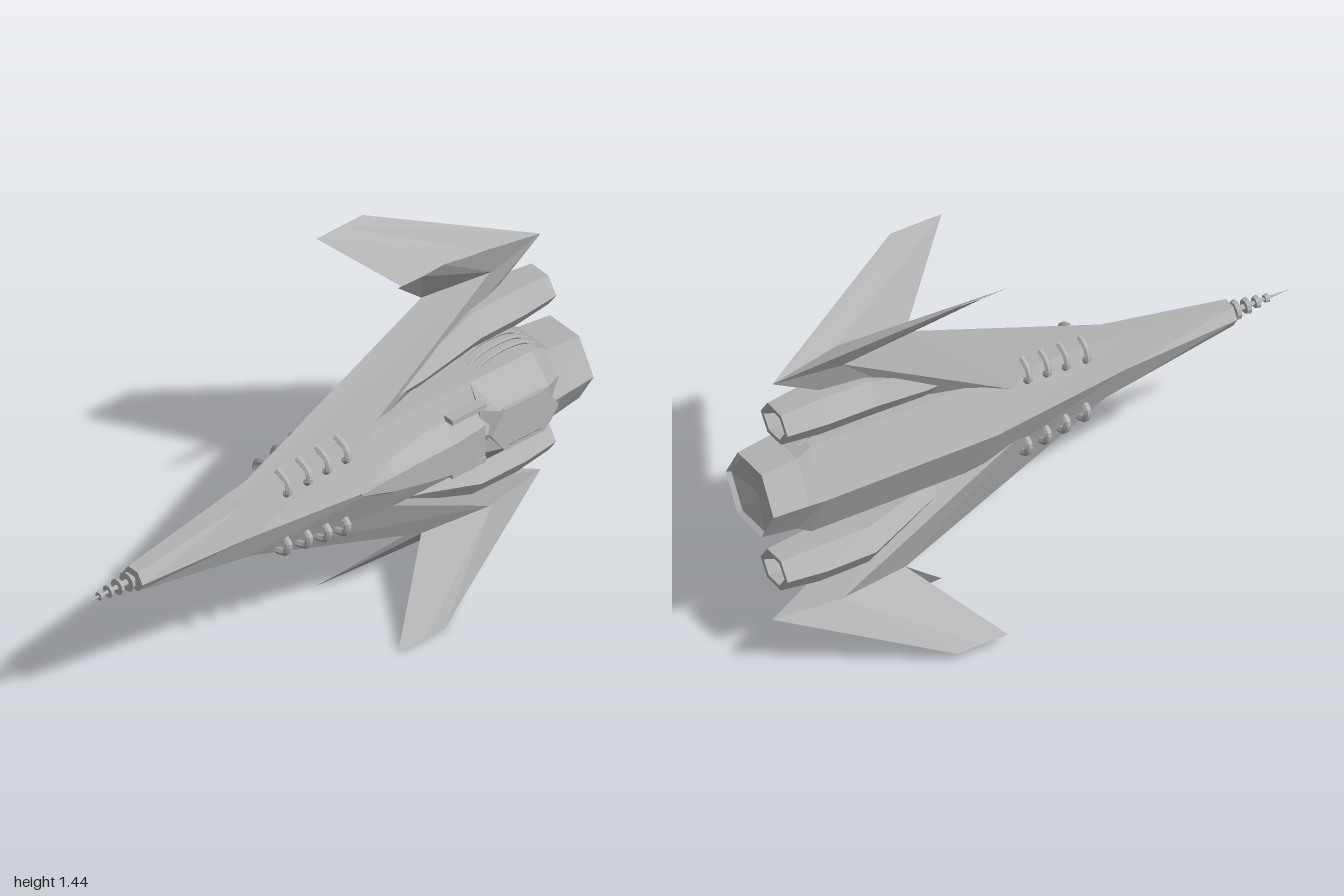
import * as THREE from 'three';

const MID = 0.72; // height of the long axis

export function createModel() {
  const model = new THREE.Group();
  const body = new THREE.Group();
  body.name = 'spacecraft';
  body.position.y = MID;
  model.add(body);
  const grey = new THREE.MeshStandardMaterial({ color: 0xb2b2b2, flatShading: true });
  grey.name = 'hull grey';

  function add(name, geometry) {
    const mesh = new THREE.Mesh(geometry, grey);
    mesh.name = name;
    body.add(mesh);
    return mesh;
  }

  // Skin over rings of equal point count, capped at both ends, facing outwards
  function loft(rings) {
    const tris = [];
    const n = rings[0].length;
    const tri = (a, b, c) => tris.push([a, b, c]);
    for (let i = 0; i < rings.length - 1; i++) {
      for (let j = 0; j < n; j++) {
        const k = (j + 1) % n, p = rings[i], q = rings[i + 1];
        tri(p[j], q[j], q[k]);
        tri(p[j], q[k], p[k]);
      }
    }
    const last = rings[rings.length - 1];
    for (let j = 1; j < n - 1; j++) {
      tri(rings[0][0], rings[0][j], rings[0][j + 1]);
      tri(last[0], last[j + 1], last[j]);
    }
    let volume = 0;
    const v = (p) => new THREE.Vector3(...p);
    for (const [a, b, c] of tris) volume += v(a).dot(v(b).cross(v(c)));
    const pos = [];
    for (const [a, b, c] of tris) pos.push(...a, ...(volume < 0 ? [...c, ...b] : [...b, ...c]));
    const g = new THREE.BufferGeometry();
    g.setAttribute('position', new THREE.Float32BufferAttribute(pos, 3));
    g.computeVertexNormals();
    return g;
  }

  // Hexagon section across x, with points toward +z and -z and flats at +y and -y
  const hex = (x, hy, zBack, zFront, y = 0) => {
    const c = (zBack + zFront) / 2, h = (zFront - zBack) / 4;
    return [[x, y, zFront], [x, y + hy, c + h], [x, y + hy, c - h],
      [x, y, zBack], [x, y - hy, c - h], [x, y - hy, c + h]];
  };

  // Fuselage with a shallow recessed stern
  add('fuselage', loft([
    hex(-0.775, 0.037, 0, 0.093),
    hex(-0.35, 0.105, -0.03, 0.125),
    hex(0.18, 0.168, -0.105, 0.195),
    hex(0.82, 0.168, -0.105, 0.205),
    hex(0.87, 0.138, -0.1, 0.2),
    hex(1, 0.122, -0.092, 0.19),
    hex(0.985, 0.11, -0.08, 0.18),
    hex(0.97, 0.001, 0.049, 0.051),
  ]));

  // Nose spike with rings
  const spike = add('noseSpike', new THREE.ConeGeometry(0.013, 0.23, 8));
  spike.rotation.z = Math.PI / 2;
  spike.position.set(-0.885, 0, 0.047);
  [[-0.795, 0.034], [-0.835, 0.028], [-0.873, 0.022], [-0.91, 0.015]].forEach(([x, r]) => {
    const disc = add('noseRing', new THREE.CylinderGeometry(r, r * 0.85, 0.014, 10));
    disc.rotation.z = Math.PI / 2;
    disc.position.set(x, 0, 0.047);
  });

  // Canopy and the raised dorsal housing behind it
  const deck = (x, w, base, t, top) =>
    [[x, w, base], [x, t, top], [x, -t, top], [x, -w, base]];
  add('canopy', loft([
    deck(0.05, 0.005, 0.16, 0.003, 0.187),
    deck(0.17, 0.075, 0.15, 0.03, 0.206),
    deck(0.3, 0.095, 0.14, 0.048, 0.222),
    deck(0.41, 0.1, 0.14, 0.06, 0.233),
    deck(0.53, 0.092, 0.14, 0.06, 0.218),
  ]));
  add('dorsalHousing', loft([
    deck(0.545, 0.166, 0.125, 0.085, 0.175),
    deck(0.6, 0.167, 0.128, 0.075, 0.208),
    deck(0.8, 0.167, 0.128, 0.075, 0.208),
    deck(0.87, 0.13, 0.125, 0.06, 0.172),
  ]));

  // Six-sided hatch: raised frame with a sunken lid
  const outline = (Type, s) => new Type([[0.555, 0], [0.61, 0.08], [0.775, 0.08], [0.83, 0], [0.775, -0.08], [0.61, -0.08]]
    .map(([x, y]) => new THREE.Vector2(0.6925 + (x - 0.6925) * s, y * s)));
  const frame = outline(THREE.Shape, 1);
  frame.holes.push(outline(THREE.Path, 0.82));
  const extrude = (shape, depth) => new THREE.ExtrudeGeometry(shape, { depth, bevelEnabled: false });
  add('hatchFrame', extrude(frame, 0.035)).position.z = 0.184;
  add('hatchLid', extrude(outline(THREE.Shape, 0.84), 0.028)).position.z = 0.184;

  const tube = (points, r, steps = 10) => new THREE.TubeGeometry(
    new THREE.CatmullRomCurve3(points.map((p) => new THREE.Vector3(...p))), steps, r, 6);

  for (const s of [1, -1]) {
    const side = (ring) => ring.map(([x, y, z]) => [x, y * s, z]);

    // Rail beside the canopy
    const rail = add('canopyRail', new THREE.BoxGeometry(0.14, 0.02, 0.04));
    rail.position.set(0.488, s * 0.105, 0.17);

    // Swept wing with a diamond section
    add('wing', loft([
      side([[-0.47, 0.08, 0.05], [0.04, 0.08, 0.105], [0.3, 0.08, 0.03], [0.04, 0.08, -0.045]]),
      side([[0.46, 0.465, -0.01], [0.72, 0.465, 0.025], [0.96, 0.465, -0.02], [0.72, 0.465, -0.048]]),
    ]));

    // Forked wing-tip fins
    for (const [name, z, y, rootZ] of [['frontFin', 0.16, 0.72, 0.027], ['backFin', -0.235, 0.685, -0.048]]) {
      const d = Math.sign(z) * 0.002;
      add(name, loft([
        side([[0.46, 0.465, -0.01], [0.72, 0.46, rootZ], [0.96, 0.465, -0.02], [0.72, 0.516, -0.016]]),
        side([[0.22, y, z], [0.32, y - 0.002, z + d], [0.41, y, z], [0.32, y, z - d]]),
      ]));
    }

    // Engine pod, open at the rear
    const pod = (x, y, hy, hz, z = 0) => hex(x, hy, z - hz, z + hz, y * s);
    add('enginePod', loft([
      pod(0.18, 0.18, 0.01, 0.02, 0.04),
      pod(0.4, 0.225, 0.045, 0.06, 0.02),
      pod(0.62, 0.288, 0.068, 0.095),
      pod(0.8, 0.29, 0.069, 0.095),
      pod(0.94, 0.288, 0.057, 0.08),
      pod(0.94, 0.288, 0.043, 0.062),
      pod(0.82, 0.288, 0.002, 0.003),
    ]));

    // Curved pipes on the flank
    for (const z of [0.085, 0.05, 0.015]) {
      add('flankPipe', tube([[0.59, s * 0.155, z], [0.64, s * 0.183, z], [0.715, s * 0.193, z],
        [0.79, s * 0.183, z], [0.84, s * 0.155, z]], 0.008, 16));
    }

    // Staples joining hull and wing, on both faces
    [-0.2, -0.12, -0.045, 0.03].forEach((x, i) => {
      const e = 0.123 + i * 0.009;
      const front = 0.098 + i * 0.005, back = -0.006 - i * 0.007;
      add('frontStaple', tube([[x, s * (e - 0.035), front + 0.01], [x, s * (e - 0.025), front + 0.028],
        [x, s * (e + 0.015), front + 0.018], [x, s * (e + 0.035), front - 0.03]], 0.012));
      add('backStaple', tube([[x, s * (e - 0.035), back - 0.01], [x, s * (e - 0.025), back - 0.028],
        [x, s * (e + 0.015), back - 0.018], [x, s * (e + 0.035), back + 0.02]], 0.012));
    });
  }
  return model;
}
